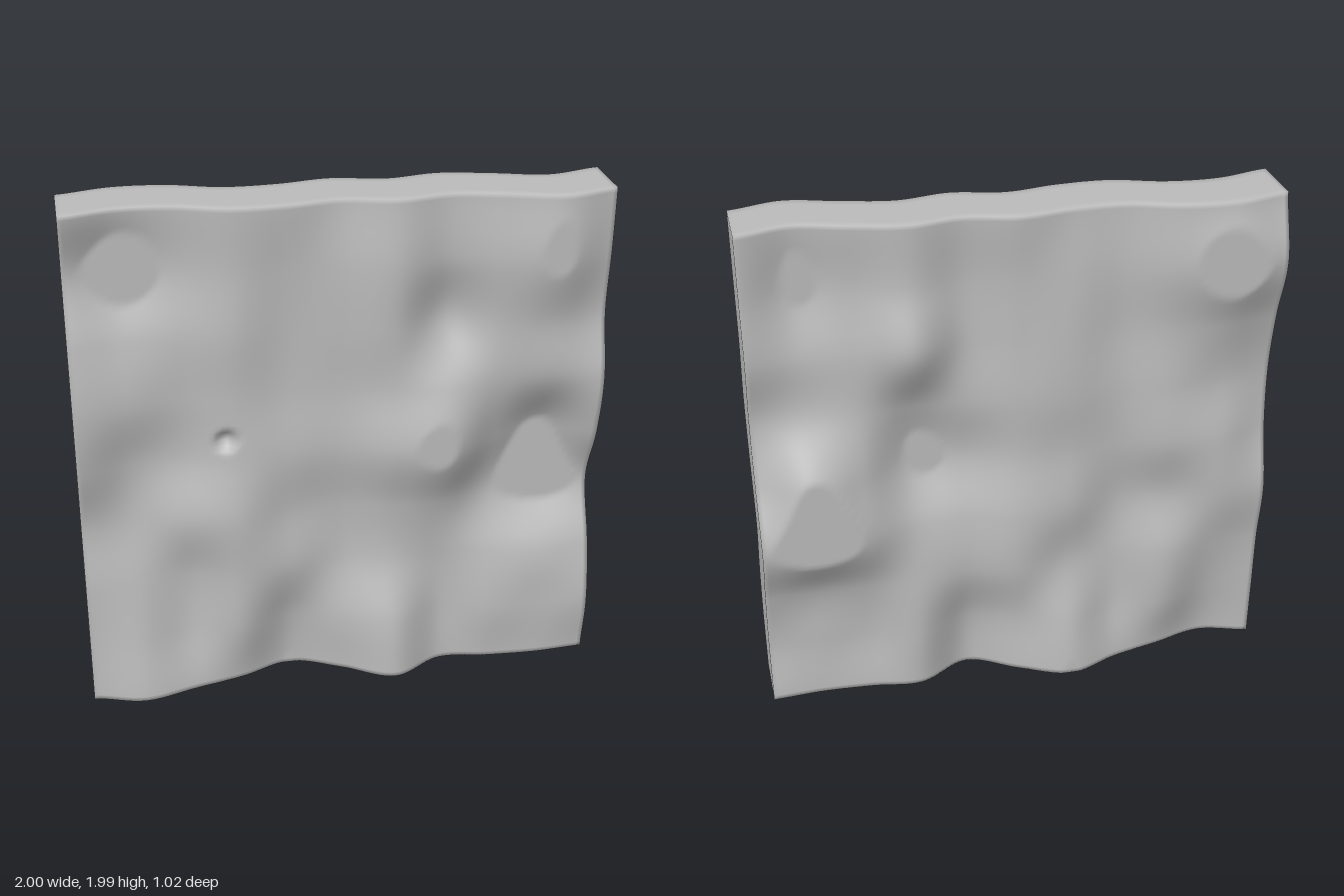
import * as THREE from 'three';
import { mergeVertices } from 'three/addons/utils/BufferGeometryUtils.js';

const WIDTH = 2, HEIGHT = 1.99, THICK = 0.24, TURN = THREE.MathUtils.degToRad(20);

// Wave heights in hundredths, top row first, left to right across the front
const WAVES = [
  [1, -4, -3, 3, 3, 0, 4, 1, 5, 10, 5],
  [-5, -10, -5, 2, 1, 2, 6, 1, 7, 12, 4],
  [2, -2, -1, 3, 0, 2, 5, -4, 4, 6, 2],
  [6, 2, -1, 2, 0, 1, 5, 7, 4, 5, 7],
  [5, -2, -2, 3, 2, 2, 9, 12, -1, -8, 3],
  [0, -2, 3, 6, 0, -2, 3, 3, -6, -10, -6],
  [3, 2, -1, 5, 2, -2, 2, 0, 2, 3, 2],
  [4, 6, 0, 4, -4, 2, 9, 0, 5, 5, 6],
  [5, 10, 5, 0, -7, 1, 11, 1, 3, 4, 3],
];

// Smooth curve through a row of evenly spaced values, t from 0 to 1
function smooth(values, t) {
  const last = values.length - 1;
  const p = THREE.MathUtils.clamp(t, 0, 1) * last;
  const i = Math.min(Math.floor(p), last - 1), f = p - i;
  const at = (k) => values[THREE.MathUtils.clamp(k, 0, last)];
  const a = at(i - 1), b = at(i), c = at(i + 1), d = at(i + 2);
  return b + 0.5 * f * (c - a + f * (2 * a - 5 * b + 4 * c - d + f * (3 * (b - c) + d - a)));
}

// Wave height, cut flat at its highest crests and deepest dips
function wave(x, y) {
  const column = WAVES.map((row) => smooth(row, x / WIDTH + 0.5));
  return THREE.MathUtils.clamp(smooth(column, 0.5 - y / HEIGHT) / 100, -0.066, 0.11);
}

export function createModel() {
  const group = new THREE.Group();
  group.name = 'wavySlab';
  const stone = new THREE.MeshStandardMaterial({ color: 0xbababa });
  stone.name = 'stone grey';

  // Slab: both faces follow the same waves
  let slab = new THREE.BoxGeometry(WIDTH, HEIGHT, THICK, 110, 110, 6);
  slab.deleteAttribute('uv');
  slab.deleteAttribute('normal');
  slab = mergeVertices(slab, 1e-4);
  const pos = slab.attributes.position;
  for (let i = 0; i < pos.count; i++) {
    const x = pos.getX(i), y = pos.getY(i), z = pos.getZ(i);
    let depth = z + wave(x, y);
    // Small round dimple on the front
    const r = Math.hypot(x + 0.44, y - 0.08) / 0.055;
    if (z > THICK * 0.49 && r < 1) depth -= 0.04 * (1 - r * r) ** 2;
    pos.setZ(i, depth);
  }
  slab.computeVertexNormals();

  const mesh = new THREE.Mesh(slab, stone);
  mesh.name = 'slab';
  mesh.position.set(-0.005, HEIGHT / 2, 0);
  mesh.rotation.y = TURN;
  group.add(mesh);
  return group;
}
